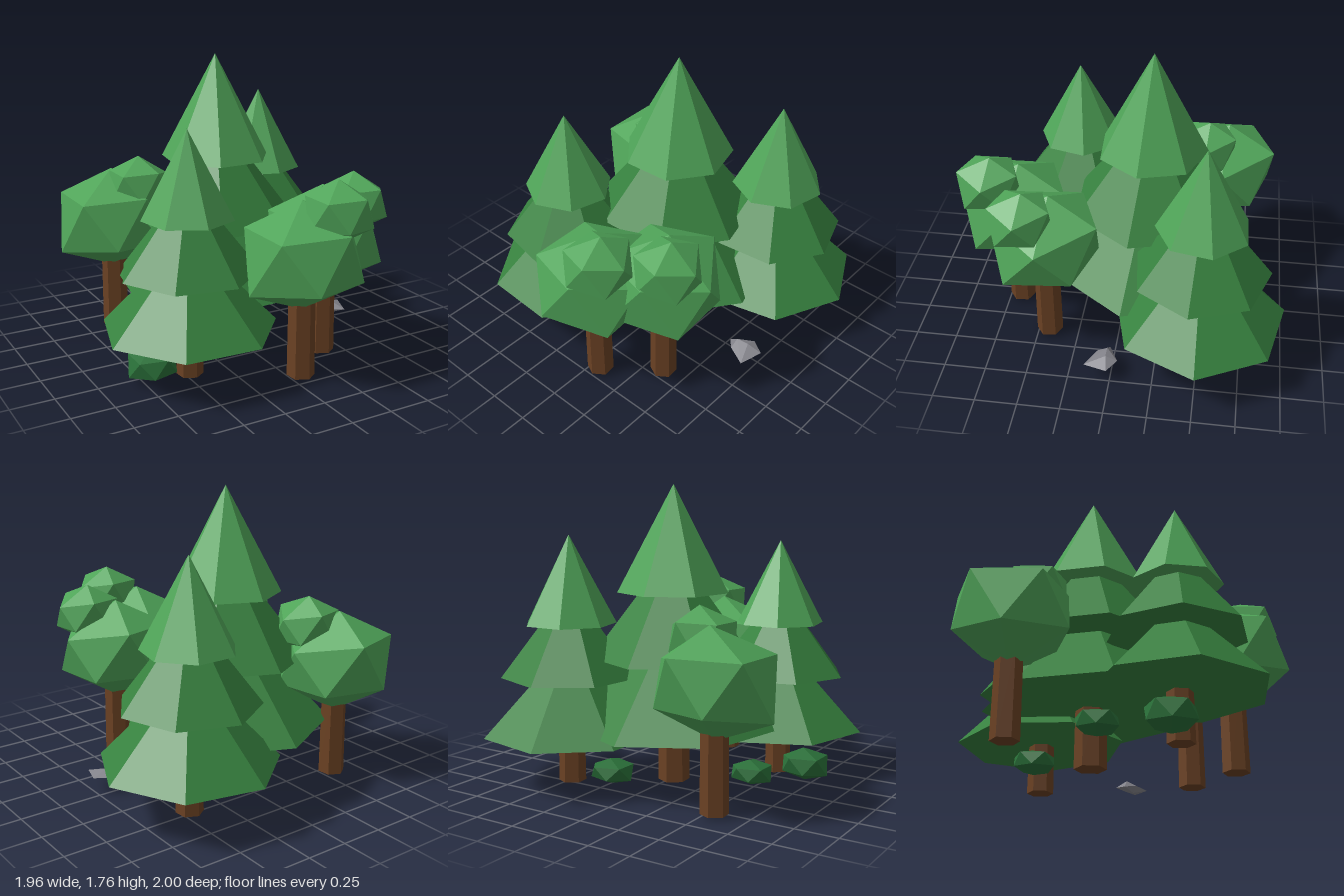
import * as THREE from 'three';
import { ConvexGeometry } from 'three/addons/geometries/ConvexGeometry.js';

const mat = (name, hex) => {
  const m = new THREE.MeshStandardMaterial({ color: hex, flatShading: true });
  m.name = name;
  return m;
};
const RAD = Math.PI / 180;

export function createModel() {
  const bark = mat('bark', 0x6a4123);
  const pineDark = mat('pineGreen', 0x37823f);
  const leafLight = mat('lightLeafGreen', 0x4fa458);
  const bushGreen = mat('bushGreen', 0x2a7039);
  const stone = mat('stoneGrey', 0x83838a);

  const forest = new THREE.Group();
  forest.name = 'forest';

  const add = (parent, name, geometry, material, x, y, z, yaw = 0) => {
    const mesh = new THREE.Mesh(geometry, material);
    mesh.name = name;
    mesh.position.set(x, y, z);
    mesh.rotation.y = yaw * RAD;
    parent.add(mesh);
  };

  const trunk = (parent, r, top) => {
    const h = top - 0.015;
    add(parent, 'trunk', new THREE.CylinderGeometry(r * 0.95, r, h, 6), bark, 0, 0.015 + h / 2, 0, 5);
  };

  // Faceted, slightly uneven blob: two poles and two staggered rings of five
  // points, alternating lower and upper; each entry is [radius, height]
  const ringShape = [
    [1.03, -0.4], [0.95, 0.55], [1.02, -0.47], [1.0, 0.33], [0.97, -0.42],
    [1.01, 0.55], [0.95, -0.4], [0.97, 0.5], [1.03, -0.57], [0.98, 0.48],
  ];
  const blob = (radius, half) => {
    const pts = [new THREE.Vector3(0.04 * radius, half, -0.1 * radius), new THREE.Vector3(0, -half, 0)];
    ringShape.forEach(([r, y], i) => {
      const a = (-17 + i * 36) * RAD;
      pts.push(new THREE.Vector3(Math.sin(a) * r * radius, y * half, Math.cos(a) * r * radius));
    });
    return new ConvexGeometry(pts);
  };

  // Pines: each tier is [radius, base height, cone height, yaw]
  const pines = [
    { x: -0.04, z: -0.155, r: 0.094, tiers: [[0.63, 0.36, 0.66, 28], [0.49, 0.76, 0.64, 28], [0.33, 1.14, 0.62, 28.5]] },
    { x: -0.48, z: 0.345, r: 0.077, tiers: [[0.507, 0.3, 0.53, 23], [0.4, 0.63, 0.51, 15], [0.263, 0.935, 0.495, -2]] },
    { x: 0.46, z: -0.495, r: 0.08, tiers: [[0.517, 0.31, 0.545, 39.5], [0.405, 0.648, 0.53, 32], [0.272, 0.957, 0.515, 1]] },
  ];
  for (const p of pines) {
    const tree = new THREE.Group();
    tree.name = 'pineTree';
    tree.position.set(p.x, 0, p.z);
    trunk(tree, p.r, p.tiers[0][1] + 0.1);
    p.tiers.forEach(([r, y, h, yaw], i) => {
      add(tree, ['lowerTier', 'middleTier', 'topTier'][i], new THREE.ConeGeometry(r, h, 7),
        i === 2 ? leafLight : pineDark, 0, y + h / 2, 0, yaw);
    });
    forest.add(tree);
  }

  // Round trees: a large crown with a smaller clump on its front left shoulder
  const roundTrees = [
    { x: 0.06, z: 0.67, clump: [0.15, 0.98, 0.115] },
    { x: 0.36, z: 0.43, clump: [0.13, 0.945, 0.11] },
    { x: -0.56, z: -0.56, clump: [0.14, 0.94, 0.105] },
  ];
  for (const t of roundTrees) {
    const tree = new THREE.Group();
    tree.name = 'roundTree';
    tree.position.set(t.x, 0, t.z);
    trunk(tree, 0.08, 0.52);
    add(tree, 'crown', blob(0.335, 0.31), leafLight, 0, 0.725, 0);
    add(tree, 'crownClump', blob(0.19, 0.18), leafLight, ...t.clump);
    forest.add(tree);
  }

  // Low bushes
  for (const [x, y, z, r, h] of [[-0.69, 0.1, 0.29, 0.14, 0.1], [0.16, 0.12, -0.5, 0.125, 0.075], [-0.53, 0.12, -0.09, 0.12, 0.075]]) {
    add(forest, 'bush', blob(r, h), bushGreen, x, y, z);
  }

  // Flat stone
  const stonePoints = [
    [-0.11, -0.02, -0.03], [0.03, 0.01, -0.09], [0.12, 0.01, -0.035], [0.075, 0, 0.105], [-0.05, 0, 0.04],
    [0.03, 0.04, -0.02], [-0.05, 0.03, -0.02], [-0.03, -0.04, 0.02], [0.06, -0.03, 0.03],
  ].map((p) => new THREE.Vector3(...p));
  add(forest, 'stone', new ConvexGeometry(stonePoints), stone, 0.66, 0.1, 0.05);

  return forest;
}
